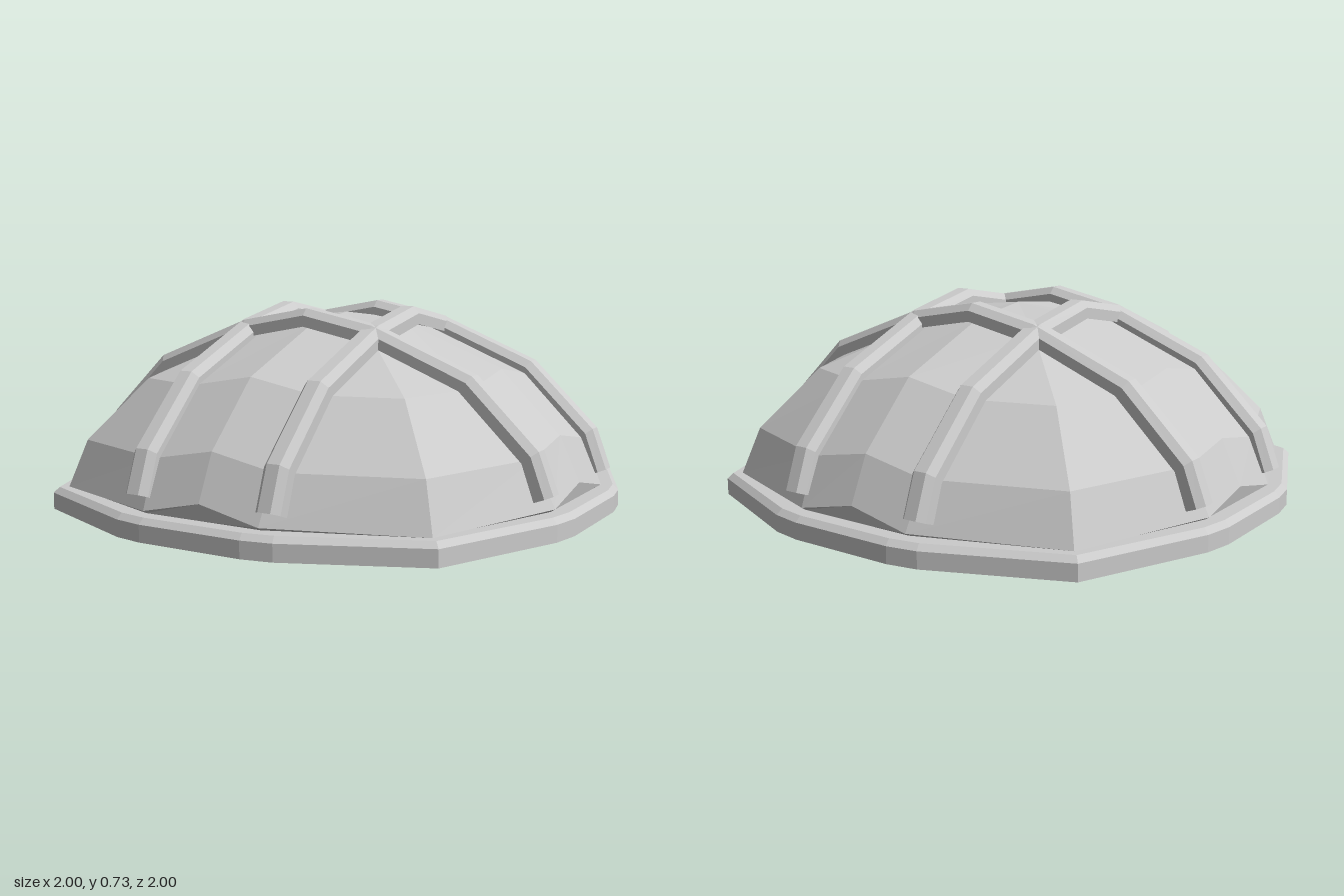
import * as THREE from 'three';

const material = new THREE.MeshStandardMaterial({ color: 0xcccccc, flatShading: true });

// Skin a list of cross-sections (bottom to top, each running counterclockwise seen from above)
function loft(name, rings, closed = true) {
  const pos = [];
  const n = rings[0].length;
  for (let i = 0; i < rings.length - 1; i++) {
    for (let j = 0; j < (closed ? n : n - 1); j++) {
      const k = (j + 1) % n;
      const a = rings[i][j], b = rings[i][k], c = rings[i + 1][k], d = rings[i + 1][j];
      pos.push(...a, ...b, ...c, ...a, ...c, ...d);
    }
  }
  const geo = new THREE.BufferGeometry();
  geo.setAttribute('position', new THREE.Float32BufferAttribute(pos, 3));
  geo.computeVertexNormals();
  const mesh = new THREE.Mesh(geo, material);
  mesh.name = name;
  return mesh;
}

// Repeat the points of the front side around all four sides
function fourSides(points) {
  const ring = [];
  for (let q = 0; q < 4; q++) {
    for (const [x, y, z] of points) {
      ring.push([[x, y, z], [z, y, -x], [-x, y, -z], [-z, y, x]][q]);
    }
  }
  return ring;
}

// Many-sided base slab with a bevelled top edge
function makeBase() {
  const ring = (s, y) => fourSides(
    [[-0.78, 0.78], [-0.31, 0.98], [-0.2, 1], [0.2, 1], [0.31, 0.98]].map(([x, z]) => [x * s, y, z * s]));
  return loft('base', [ring(0, 0), ring(1, 0), ring(1, 0.06), ring(0.98, 0.08), ring(0, 0.08)]);
}

// Faceted dome: each side has a raised middle, two shoulders and a corner
function makeDome() {
  const ring = (corner, shoulder, dist, y, middle, cornerY = y) => fourSides([
    [-corner, cornerY, corner], [-shoulder, y, dist], [0, middle, dist], [shoulder, y, dist]]);
  return loft('dome', [
    ring(0.735, 0.23, 0.925, 0.08, 0.08),
    ring(0.74, 0.23, 0.94, 0.09, 0.14, 0.08),
    ring(0.69, 0.24, 0.865, 0.255, 0.30, 0.25),
    ring(0.53, 0.25, 0.64, 0.475, 0.52, 0.47),
    ring(0.25, 0.25, 0.25, 0.63, 0.67),
    ring(0, 0, 0, 0.7, 0.7),
  ]);
}

// Bevelled rib following the arch over the dome, along x
function makeRib() {
  const half = [[0.27, 0.678], [0.655, 0.525], [0.9, 0.29], [0.955, 0.145]];
  const path = [...half.map(([u, y]) => [-u, y]).reverse(), [0, 0.73], ...half]
    .map(([u, y]) => new THREE.Vector2(u, y));
  // side offset and depth below the outer face
  const section = [[-0.047, 0.065], [-0.047, 0.025], [-0.024, 0], [0.024, 0], [0.047, 0.025], [0.047, 0.065]];
  const rings = path.map((p, i) => {
    const t = path[Math.min(i + 1, path.length - 1)].clone().sub(path[Math.max(i - 1, 0)]).normalize();
    return section.map(([w, d]) => [p.x + t.y * d, p.y - t.x * d, w]);
  });
  return loft('rib', rings, false);
}

export function createModel() {
  const group = new THREE.Group();
  group.name = 'ribbedDome';
  group.add(makeBase(), makeDome());

  // Two ribs each way, crossing over the top
  const rib = makeRib();
  for (const offset of [-0.262, 0.262]) {
    const across = rib.clone();
    across.name = 'crossRib';
    across.position.z = offset;
    const along = rib.clone();
    along.name = 'lengthRib';
    along.rotation.y = Math.PI / 2;
    along.position.x = offset;
    group.add(across, along);
  }
  return group;
}
